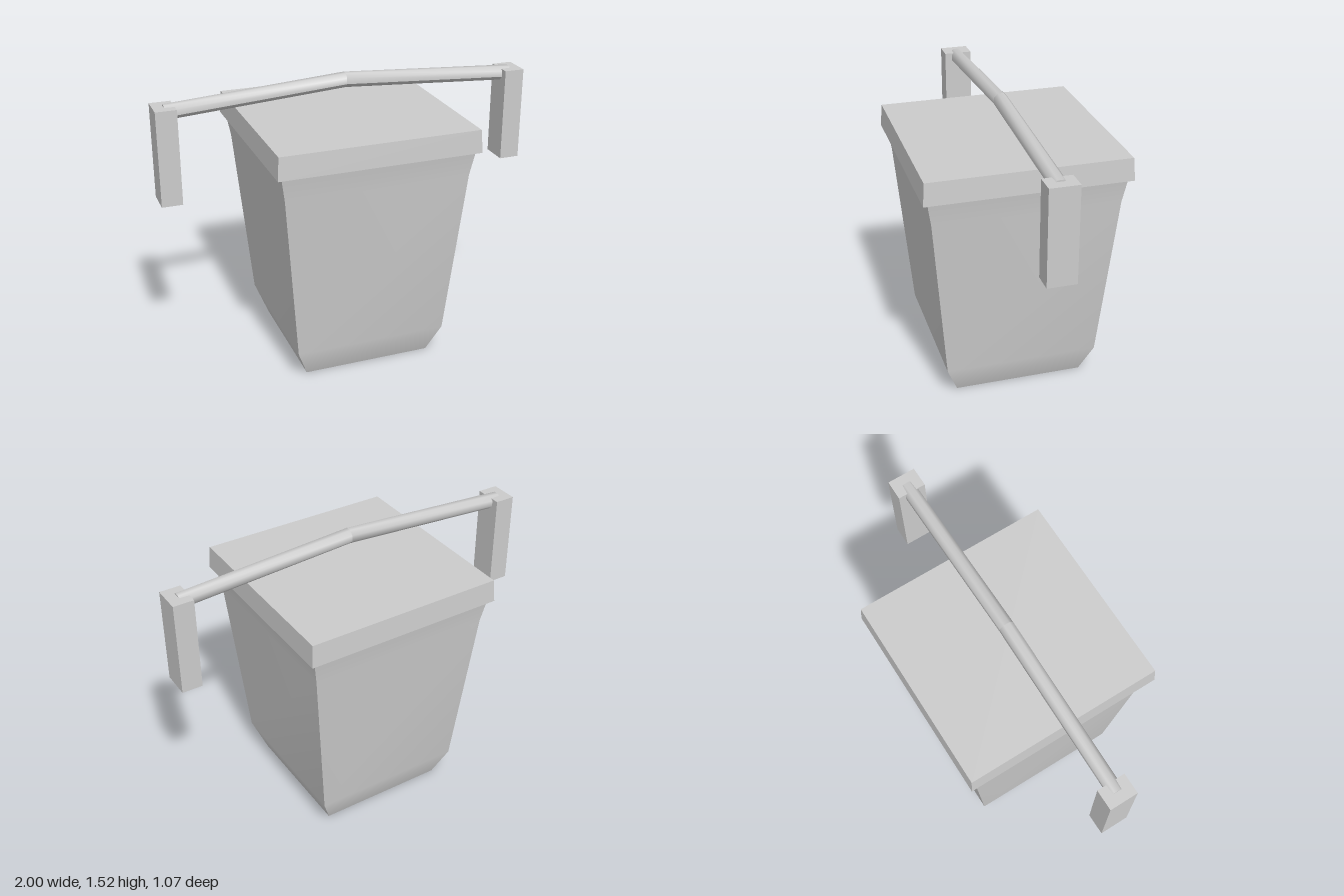
import * as THREE from 'three';

const material = new THREE.MeshStandardMaterial({ color: 0xcccccc });

function addMesh(parent, name, geometry) {
  const mesh = new THREE.Mesh(geometry, material);
  mesh.name = name;
  parent.add(mesh);
  return mesh;
}

// Closed square loft from [halfWidth, y] rings; walls shade smoothly, corners stay sharp
function squareLoft(profile) {
  const positions = [];
  const index = [];
  const corner = (k, w, y) => [[w, y, w], [w, y, -w], [-w, y, -w], [-w, y, w]][k % 4];
  for (let side = 0; side < 4; side++) {
    const base = positions.length / 3;
    profile.forEach(([w, y], i) => {
      positions.push(...corner(side, w, y), ...corner(side + 1, w, y));
      if (i === 0) return;
      const a = base + 2 * (i - 1);
      index.push(a, a + 1, a + 3, a, a + 3, a + 2);
    });
  }
  // Flat bottom and top caps
  [[profile[0], false], [profile[profile.length - 1], true]].forEach(([[w, y], up]) => {
    const b = positions.length / 3;
    for (let k = 0; k < 4; k++) positions.push(...corner(k, w, y));
    index.push(...(up ? [b, b + 1, b + 2, b, b + 2, b + 3] : [b, b + 2, b + 1, b, b + 3, b + 2]));
  });
  const geometry = new THREE.BufferGeometry();
  geometry.setAttribute('position', new THREE.Float32BufferAttribute(positions, 3));
  geometry.setIndex(index);
  geometry.computeVertexNormals();
  return geometry;
}

// Half of the handle bar: octagonal rod whose sections slide down away from the centre
function barHalf(side) {
  const length = 0.945;
  const geometry = new THREE.CylinderGeometry(0.04, 0.04, length, 8, 1, false, Math.PI / 8);
  geometry.rotateZ(-Math.PI / 2).translate(side * length / 2, 0, 0);
  const p = geometry.attributes.position;
  for (let i = 0; i < p.count; i++) {
    p.setY(i, p.getY(i) + 1.483 - 0.066 * Math.abs(p.getX(i)));
  }
  geometry.computeVertexNormals();
  return geometry;
}

export function createModel() {
  const model = new THREE.Group();
  model.name = 'bucket';

  // Tapered container and its overhanging lid
  addMesh(model, 'container', squareLoft([[0.345, 0], [0.408, 0.16], [0.487, 1.07], [0.51, 1.21]]));
  addMesh(model, 'lid', squareLoft([[0.533, 1.2], [0.525, 1.32]]));

  // Bent handle bar with a hanging grip block at each end
  const handle = new THREE.Group();
  handle.name = 'handle';
  model.add(handle);
  for (const [side, label] of [[1, 'left'], [-1, 'right']]) {
    addMesh(handle, label + 'Bar', barHalf(side));
    addMesh(handle, label + 'Grip', new THREE.BoxGeometry(0.108, 0.5, 0.15))
      .position.set(side * 0.946, 1.2, 0);
  }
  return model;
}
